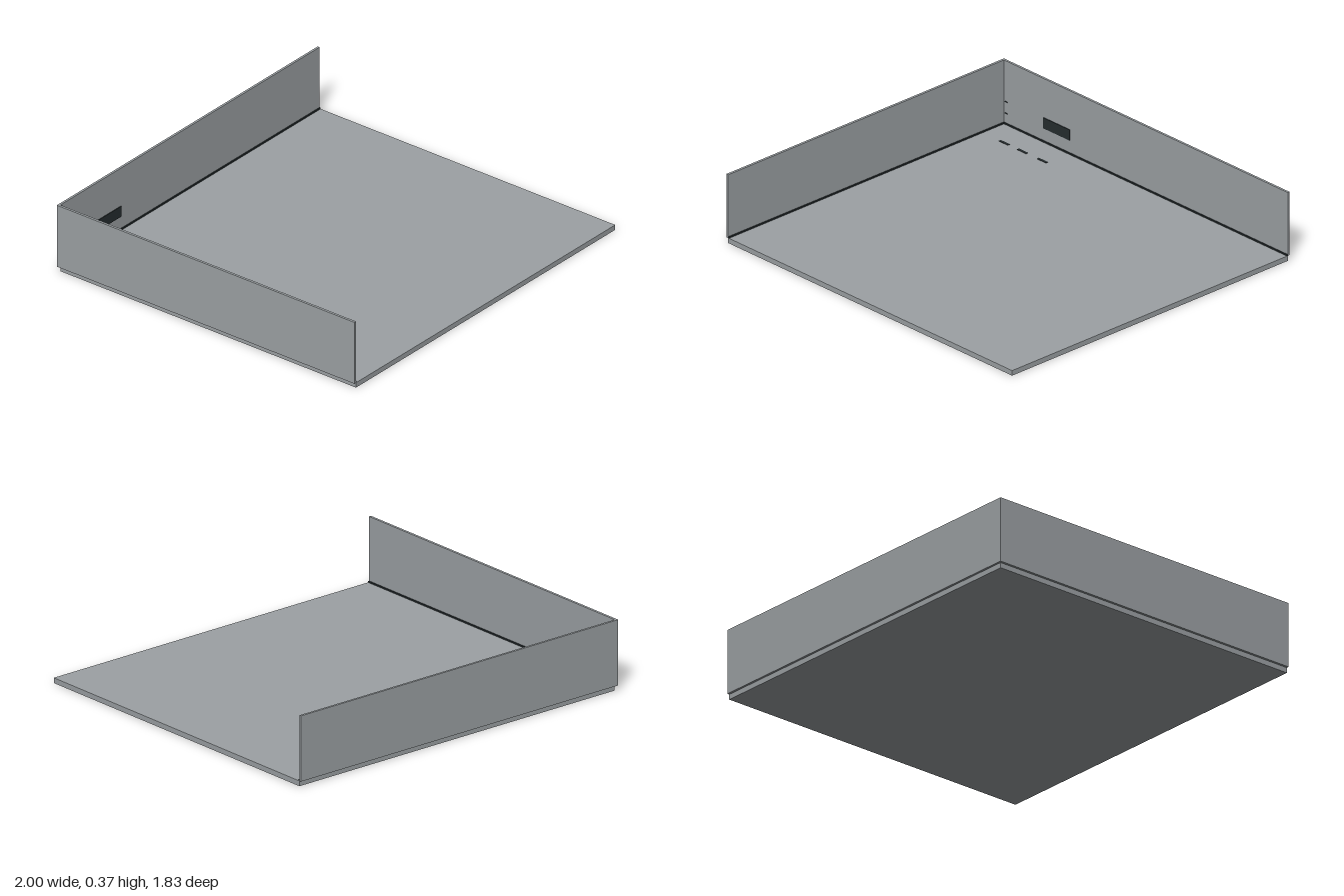
import * as THREE from 'three';

export function createModel() {
  const model = new THREE.Group();
  const grey = new THREE.MeshStandardMaterial({ color: 0x9ca1a4 });
  grey.name = 'wall grey';
  const dark = new THREE.MeshStandardMaterial({ color: 0x262d2f });
  dark.name = 'dark trim';

  // Box given by its lower and upper limits on each axis
  function box(name, material, [x0, x1], [y0, y1], [z0, z1]) {
    const mesh = new THREE.Mesh(new THREE.BoxGeometry(x1 - x0, y1 - y0, z1 - z0), material);
    mesh.position.set((x0 + x1) / 2, (y0 + y1) / 2, (z0 + z1) / 2);
    mesh.name = name;
    model.add(mesh);
  }

  const wallX = -0.987, wallZ = -0.905; // inner wall faces
  const floorY = 0.027, wallY = [0.027, 0.365];

  // Floor slab and the two walls meeting at the back corner
  box('floor', grey, [wallX, 1], [0, floorY], [wallZ, 0.917]);
  box('backWall', grey, [-1, 1], wallY, [-0.917, wallZ]);
  box('sideWall', grey, [-1, wallX], wallY, [wallZ, 0.917]);

  // Dark skirting along the foot of each wall
  box('backSkirting', dark, [wallX, 1], [floorY, 0.034], [wallZ, wallZ + 0.006]);
  box('sideSkirting', dark, [wallX, wallX + 0.006], [floorY, 0.034], [wallZ + 0.006, 0.917]);

  // Dark panel on the back wall
  box('wallPanel', dark, [-0.71, -0.525], [0.1, 0.157], [wallZ, wallZ + 0.004]);

  // Small ticks beside the corner
  for (const y of [0.085, 0.147]) {
    box('cornerTick', dark, [-0.98, -0.962], [y - 0.002, y + 0.002], [wallZ, wallZ + 0.003]);
  }

  // Row of dashes on the floor
  for (const x of [-0.83, -0.702, -0.563]) {
    box('floorDash', dark, [x - 0.032, x + 0.032], [floorY, 0.029], [-0.766, -0.752]);
  }

  return model;
}
